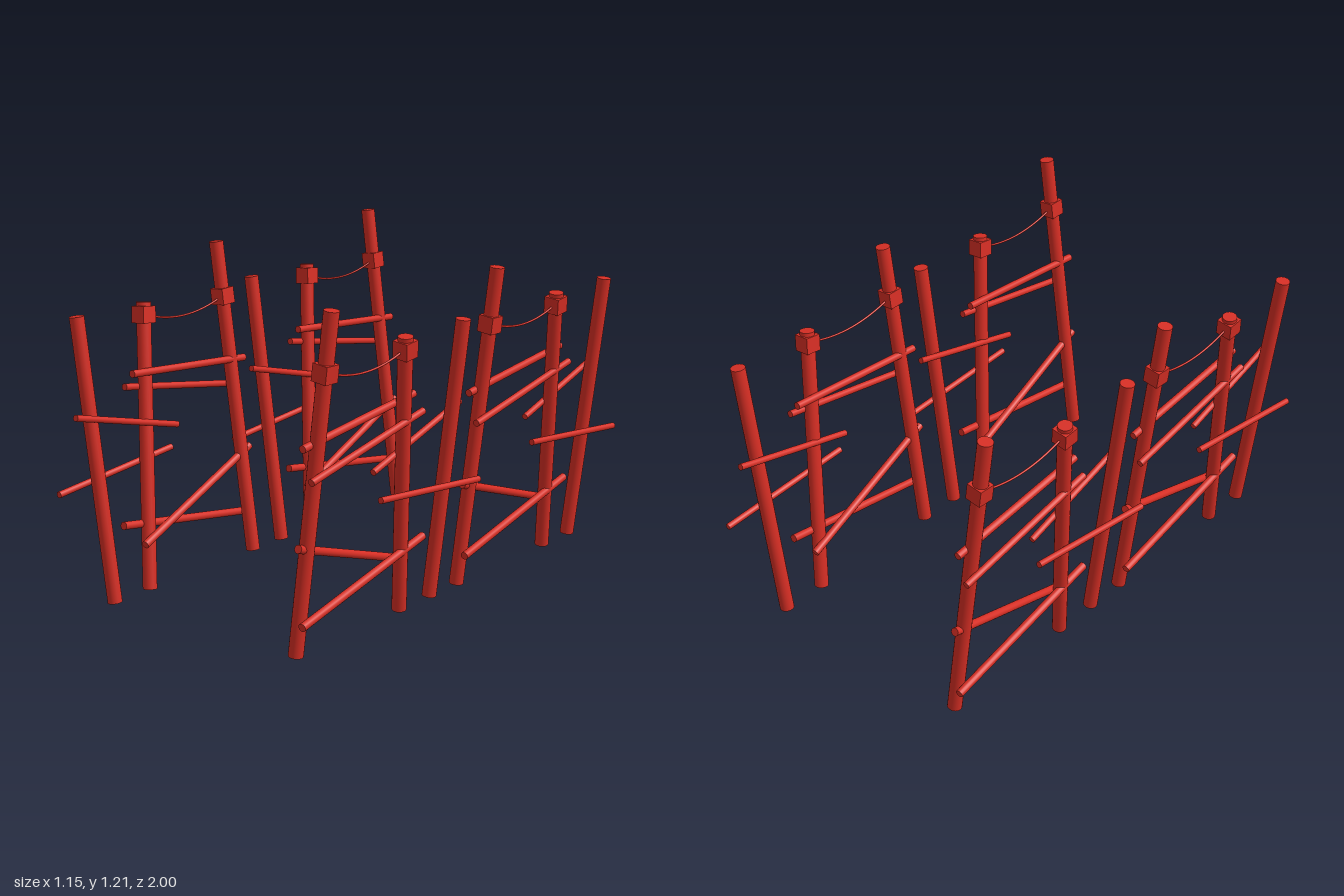
import * as THREE from 'three';

const red = new THREE.MeshStandardMaterial({ color: 0xd62e24 });
red.name = 'red paint';

const V = (x, y, z) => new THREE.Vector3(x, y, z);
const UP = V(0, 1, 0);

// Round pole between two points
function pole(name, a, b, radius, sides = 20) {
  const dir = b.clone().sub(a);
  const mesh = new THREE.Mesh(new THREE.CylinderGeometry(radius, radius, dir.length(), sides), red);
  mesh.position.copy(a).add(b).multiplyScalar(0.5);
  mesh.quaternion.setFromUnitVectors(UP, dir.normalize());
  mesh.name = name;
  return mesh;
}

// Square collar fitted around a leaning post at a given height
function collar(name, a, b, height) {
  const mesh = new THREE.Mesh(new THREE.BoxGeometry(0.062, 0.062, 0.062), red);
  mesh.position.lerpVectors(a, b, (height - a.y) / (b.y - a.y));
  mesh.quaternion.setFromUnitVectors(UP, b.clone().sub(a).normalize());
  mesh.name = name;
  return mesh;
}

// One fence bay: three leaning posts, two collars with a slack rope, and crossing rails
function fenceBay() {
  const bay = new THREE.Group();
  const posts = {
    tallPost: [V(0.416, 0.002, 0.802), V(0.55, 1.207, 0.768)],
    middlePost: [V(0.416, 0.002, 0.24), V(0.532, 1.045, 0.362)],
    endPost: [V(0.416, 0.002, 0.063), V(0.532, 1.048, 0.036)],
  };
  for (const [name, [a, b]] of Object.entries(posts)) bay.add(pole(name, a, b, 0.027));

  const c1 = collar('tallPostCollar', ...posts.tallPost, 1.0);
  const c2 = collar('middlePostCollar', ...posts.middlePost, 1.0);
  bay.add(c1, c2);

  // Slack rope between the collars
  const sag = c1.position.clone().lerp(c2.position, 0.5);
  sag.y -= 0.078;
  const curve = new THREE.QuadraticBezierCurve3(c1.position.clone(), sag, c2.position.clone());
  const rope = new THREE.Mesh(new THREE.TubeGeometry(curve, 20, 0.004, 8), red);
  rope.name = 'rope';
  bay.add(rope);

  // Rails: name, start, end, radius
  const rails = [
    ['upperRail', [0.47, 0.81, 0.235], [0.49, 0.752, 0.845], 0.014],
    ['secondRail', [0.512, 0.755, 0.235], [0.524, 0.645, 0.842], 0.013],
    ['diagonalRail', [0.403, 0.183, 0.21], [0.465, 0.405, 0.842], 0.015],
    ['lowerRail', [0.45, 0.262, 0.15], [0.485, 0.135, 0.848], 0.015],
    ['endUpperRail', [0.447, 0.715, -0.064], [0.468, 0.575, 0.455], 0.012],
    ['endLowerRail', [0.515, 0.428, -0.095], [0.502, 0.482, 0.455], 0.012],
  ];
  for (const [name, a, b, r] of rails) bay.add(pole(name, V(...a), V(...b), r, 16));
  return bay;
}

export function createModel() {
  const model = new THREE.Group();
  model.name = 'ropeFences';
  // Two bays per side; the other side is the same fence turned half round
  ['left', 'right'].forEach((sideName, s) => {
    const fence = new THREE.Group();
    fence.name = sideName + 'Fence';
    ['front', 'back'].forEach((bayName, i) => {
      const bay = fenceBay();
      bay.name = (s ? ['back', 'front'][i] : bayName) + 'Bay';
      bay.position.z = -0.905 * i;
      fence.add(bay);
    });
    fence.rotation.y = Math.PI * s;
    model.add(fence);
  });
  return model;
}
